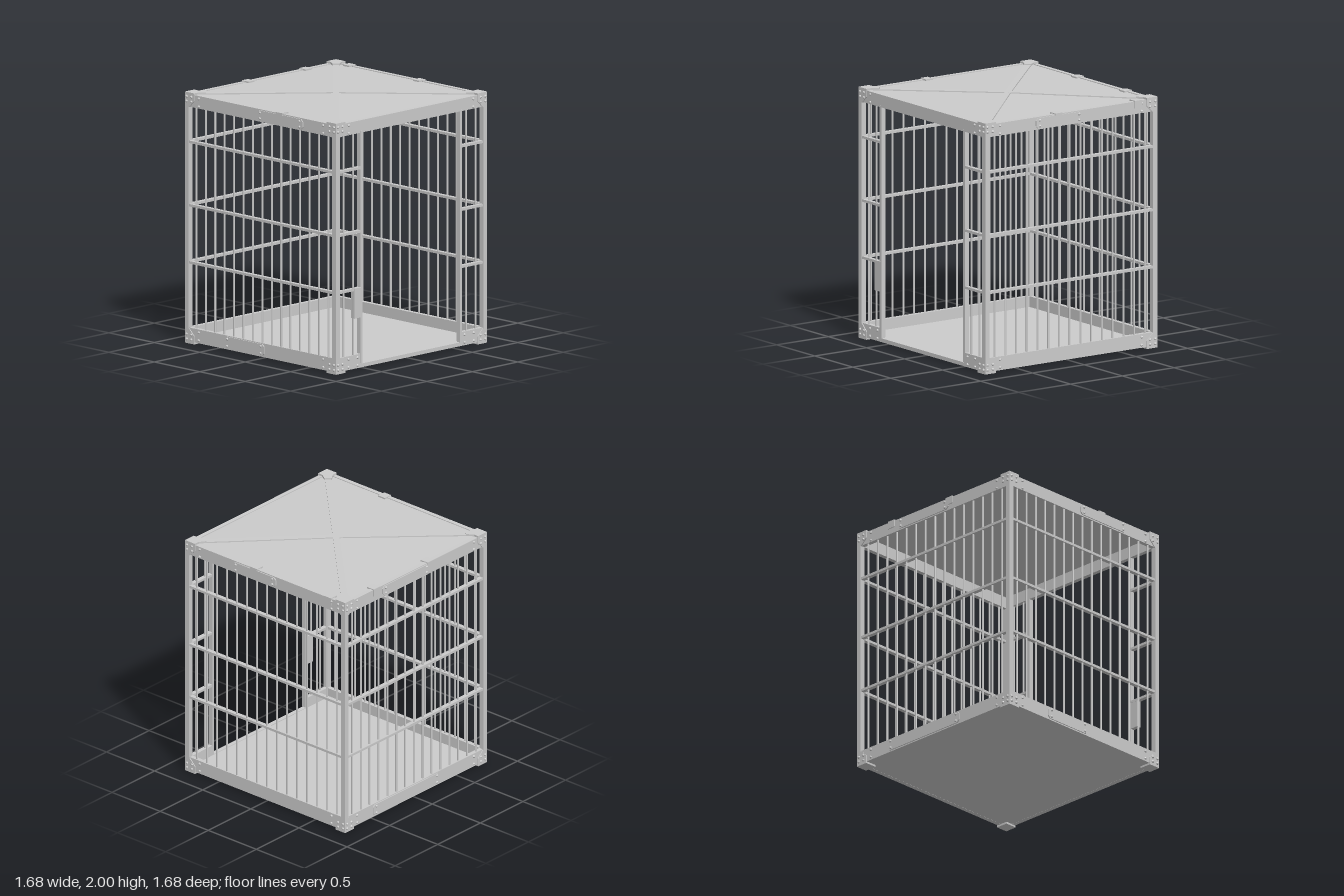
import * as THREE from 'three';

const grey = new THREE.MeshStandardMaterial({ color: 0xcccccc, flatShading: true });
const rivetGeo = new THREE.SphereGeometry(0.012, 8, 4, 0, Math.PI * 2, 0, Math.PI / 2).rotateX(Math.PI / 2);
const barGeo = new THREE.CylinderGeometry(0.008, 0.008, 1.8, 8);

function add(parent, name, geo, x = 0, y = 0, z = 0) {
  const m = new THREE.Mesh(geo, grey);
  m.name = name;
  m.position.set(x, y, z);
  parent.add(m);
  return m;
}

// Box given by its limits on each axis
function block(parent, name, x0, x1, y0, y1, z0, z1) {
  return add(parent, name, new THREE.BoxGeometry(x1 - x0, y1 - y0, z1 - z0),
    (x0 + x1) / 2, (y0 + y1) / 2, (z0 + z1) / 2);
}

function plate(points, depth) {
  const shape = new THREE.Shape(points.map(([x, y]) => new THREE.Vector2(x, y)));
  return new THREE.ExtrudeGeometry(shape, { depth, bevelEnabled: false });
}

// Chamfered reinforcement plate on a beam, riveted at both ends
function beamPlate(side, x0, x1, y0, y1) {
  const c = 0.02;
  add(side, 'beamPlate', plate([[x0 + c, y0], [x1 - c, y0], [x1, y0 + c], [x1, y1 - c],
    [x1 - c, y1], [x0 + c, y1], [x0, y1 - c], [x0, y0 + c]], 0.008), 0, 0, 0.825);
  for (const x of [x0 + 0.035, x1 - 0.035])
    for (const y of [y0 + 0.018, y1 - 0.018]) add(side, 'plateRivet', rivetGeo, x, y, 0.83);
}

// Bent clip that holds the roof sheet to the top beam
function roofClip(side, x) {
  block(side, 'roofClip', x - 0.035, x + 0.035, 1.98, 1.992, 0.76, 0.83);
  block(side, 'roofClipLip', x - 0.035, x + 0.035, 1.93, 1.992, 0.825, 0.832);
}

// One wall, built facing +z
function createSide(name, { door = false, top, bottom, clips = [] }) {
  const side = new THREE.Group();
  side.name = name;
  block(side, 'topBeam', -0.82, 0.82, 1.885, 1.985, 0.79, 0.825);

  // Lower beam, rails and bars, interrupted by the doorway
  const spans = door ? [[-0.82, -0.54], [0.54, 0.82]] : [[-0.82, 0.82]];
  for (const [a, b] of spans) {
    block(side, 'bottomBeam', a, b, 0.015, 0.125, 0.79, 0.825);
    for (const y of [0.645, 1.1, 1.605])
      block(side, 'rail', Math.max(a, -0.8), Math.min(b, 0.8), y - 0.01, y + 0.01, 0.793, 0.827);
  }
  for (let i = -7; i <= 7; i++)
    if (!door || Math.abs(i) > 5) add(side, 'bar', barGeo, i * 0.1038, 1.005, 0.81);

  if (door) {
    block(side, 'sill', -0.54, 0.54, 0.015, 0.045, 0.79, 0.825);
    for (const s of [-1, 1]) block(side, 'doorJamb', s * 0.548 - 0.011, s * 0.548 + 0.011, 0.05, 1.9, 0.79, 0.828);
    block(side, 'lockPlate', -0.628, -0.54, 0.415, 0.655, 0.795, 0.83);
  }

  // Corner gussets and rivets
  for (const s of [-1, 1]) for (const up of [false, true]) {
    const Y = (d) => (up ? 2 - d : d);
    const pts = [[0.832, 0], [0.73, 0], [0.73, 0.065], [0.785, 0.118], [0.832, 0.118]];
    add(side, 'cornerGusset', plate(pts.map(([x, d]) => [s * x, Y(d)]), 0.012), 0, 0, 0.82);
    for (const x of [0.76, 0.81]) for (const d of [0.033, 0.072])
      add(side, 'cornerRivet', rivetGeo, s * x, Y(d), 0.83);
    for (const x of door && !up ? [0.59, 0.69] : [0.685])
      for (const d of [0.037, 0.1]) add(side, 'beamRivet', rivetGeo, s * x, Y(d), 0.823);
  }
  if (top) beamPlate(side, ...top, 1.895, 1.977);
  if (bottom) beamPlate(side, ...bottom, 0.025, 0.118);
  clips.forEach((x) => roofClip(side, x));
  return side;
}

export function createModel() {
  const cage = new THREE.Group();
  cage.name = 'cage';

  const walls = [
    ['frontWall', { top: [-0.04, 0.465], bottom: [-0.4, 0.04], clips: [0.2] }],
    ['doorWall', { door: true }],
    ['backWall', { top: [-0.34, 0.11], clips: [-0.12, 0.65] }],
    ['leftoverWall', { top: [-0.39, 0.16], bottom: [-0.5, 0.28], clips: [-0.46, 0.17] }],
  ];
  walls[3][0] = 'sideWall';
  walls.forEach(([name, options], i) => {
    const side = createSide(name, options);
    side.rotation.y = i * Math.PI / 2;
    cage.add(side);
  });

  // Floor slab
  block(cage, 'floor', -0.81, 0.81, 0.016, 0.04, -0.81, 0.81);

  // Slightly peaked roof sheet
  const roof = new THREE.ConeGeometry(0.82 * Math.SQRT2, 0.013, 4, 1).rotateY(Math.PI / 4);
  add(cage, 'roofSheet', roof, 0, 1.9855, 0);

  const capPoints = [[0.832, 0.832], [0.832, 0.73], [0.79, 0.73], [0.735, 0.695],
    [0.695, 0.735], [0.73, 0.79], [0.73, 0.832]];
  const cap = plate(capPoints, 0.015).rotateX(-Math.PI / 2);
  for (let i = 0; i < 4; i++) {
    const corner = new THREE.Group();
    corner.name = 'corner';
    corner.rotation.y = i * Math.PI / 2;
    // Upright, gusset cap and foot
    block(corner, 'cornerPost', 0.79, 0.832, 0.01, 1.99, -0.832, -0.79);
    add(corner, 'cornerCap', cap, 0, 1.985, 0);
    block(corner, 'cornerFoot', 0.73, 0.832, 0, 0.018, -0.832, -0.73);
    // Diagonal strap rising to the roof centre
    const strap = block(corner, 'roofStrap', 0, 1.06, -0.006, 0.004, -0.025, 0.025);
    strap.geometry.translate(0.53, 0, 0);
    strap.position.set(0, 1.995, 0);
    strap.rotation.set(0, Math.PI / 4, -0.01, 'YXZ');
    cage.add(corner);
  }
  return cage;
}
